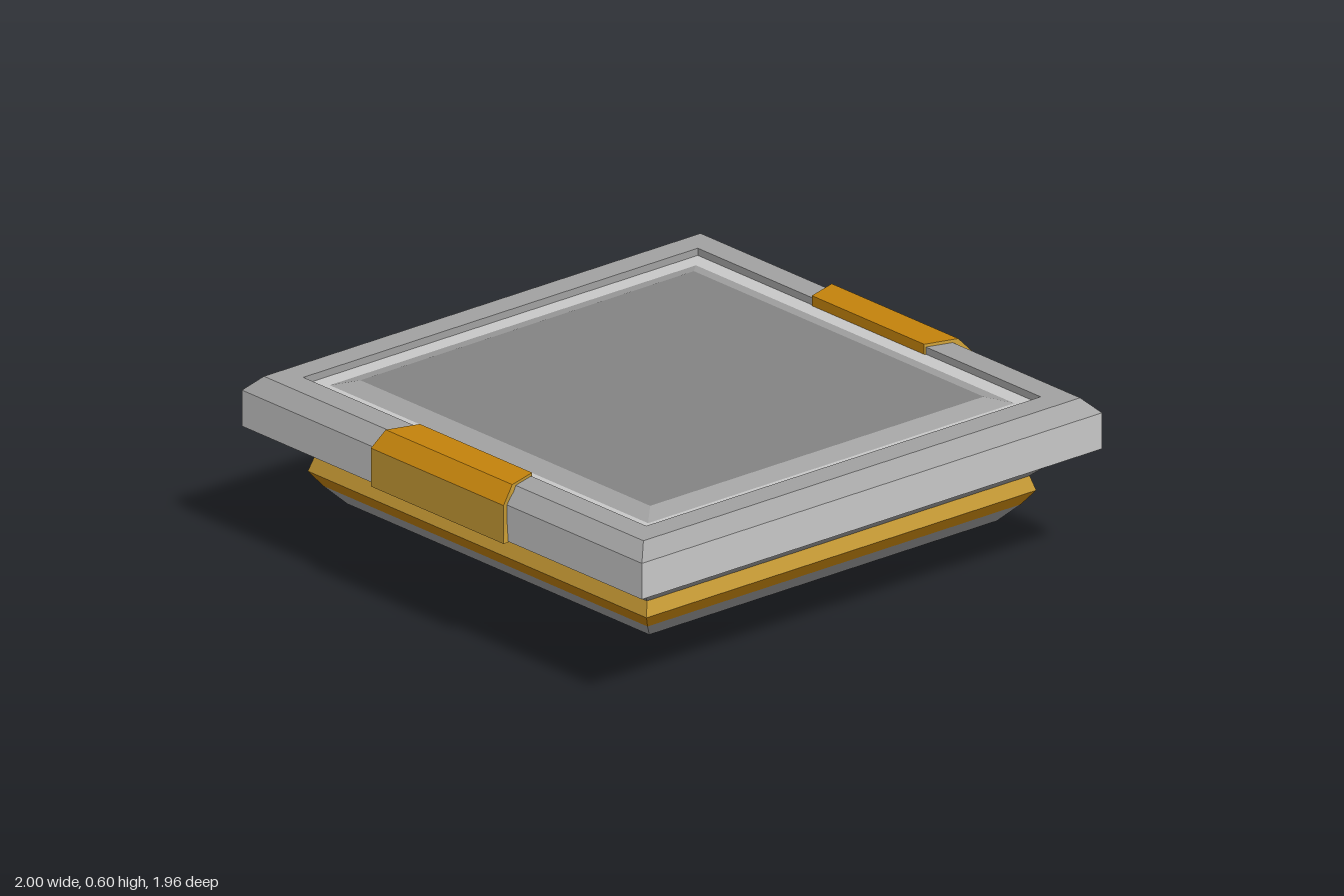
import * as THREE from 'three';

function mat(name, color, extra = {}) {
  const m = new THREE.MeshStandardMaterial({ color, ...extra });
  m.name = name;
  return m;
}

// Flat-shaded mesh from quads given as four counter-clockwise corners
function quadMesh(name, material, quads) {
  const pos = [];
  for (const [a, b, c, d] of quads) pos.push(...a, ...b, ...c, ...a, ...c, ...d);
  const g = new THREE.BufferGeometry();
  g.setAttribute('position', new THREE.Float32BufferAttribute(pos, 3));
  g.computeVertexNormals();
  const mesh = new THREE.Mesh(g, material);
  mesh.name = name;
  return mesh;
}

// Square loft through [halfWidth, y] rings, profile running bottom -> outside -> top
function squareLoft(name, material, rings) {
  const quads = [];
  const turn = (x, y, z, k) => [[x, y, z], [z, y, -x], [-x, y, -z], [-z, y, x]][k];
  for (let i = 0; i < rings.length - 1; i++) {
    const [ha, ya] = rings[i], [hb, yb] = rings[i + 1];
    for (let k = 0; k < 4; k++) {
      quads.push([turn(-ha, ya, ha, k), turn(ha, ya, ha, k), turn(hb, yb, hb, k), turn(-hb, yb, hb, k)]);
    }
  }
  return quadMesh(name, material, quads);
}

export function createModel() {
  const grey = mat('grey', 0xa2a2a2);
  const lightGrey = mat('light grey', 0xc8c8c8);
  const panelGrey = mat('panel grey', 0x848484);
  const gold = mat('gold', 0xc4830c);
  const lightGold = mat('light gold', 0xc99c35);

  const model = new THREE.Group();
  model.name = 'floatingPlatform';

  model.add(
    // Tapered foot
    squareLoft('footBottom', lightGold, [[0, 0], [0.39, 0]]),
    squareLoft('footSides', gold, [[0.39, 0], [0.48, 0.115]]),
    // Underside with a recessed groove
    squareLoft('undersideInner', grey, [[0.48, 0.115], [0.55, 0.115]]),
    squareLoft('undersideGroove', lightGrey, [[0.55, 0.115], [0.55, 0.145], [0.6, 0.145], [0.6, 0.115]]),
    squareLoft('lowerHull', grey, [[0.6, 0.115], [0.74, 0.155], [0.795, 0.215]]),
    // Gold belt
    squareLoft('beltLower', gold, [[0.795, 0.215], [0.83, 0.265]]),
    squareLoft('beltUpper', lightGold, [[0.83, 0.265], [0.815, 0.315]]),
    // Upper hull and rim
    squareLoft('upperHull', grey, [[0.815, 0.315], [0.925, 0.415], [0.98, 0.415]]),
    squareLoft('rimSides', lightGrey, [[0.98, 0.415], [0.98, 0.54]]),
    squareLoft('rimTop', grey, [[0.98, 0.54], [0.93, 0.59], [0.84, 0.59], [0.84, 0.565]]),
    // Groove and slightly raised deck
    squareLoft('deckGroove', lightGrey, [[0.84, 0.565], [0.78, 0.565]]),
    squareLoft('deckBevel', grey, [[0.78, 0.565], [0.71, 0.585]]),
    squareLoft('deckPanel', panelGrey, [[0.71, 0.585], [0, 0.585]]),
  );

  // Clasps over the left and right rim: [x, y, half length in z]
  const section = [[0.92, 0.412, 0.325], [1, 0.412, 0.325], [1, 0.545, 0.325],
    [0.95, 0.6, 0.31], [0.835, 0.6, 0.275], [0.835, 0.565, 0.275]];
  const strip = (i) => {
    const [ax, ay, az] = section[i], [bx, by, bz] = section[i + 1];
    return [[ax, ay, az], [ax, ay, -az], [bx, by, -bz], [bx, by, bz]];
  };
  const end = (s) => {
    const p = section.map(([x, y, z]) => [x, y, z * s]);
    const quads = [[p[0], p[1], p[2], p[3]], [p[0], p[3], p[4], p[5]]];
    return s > 0 ? quads : quads.map((q) => q.reverse());
  };
  for (const side of ['left', 'right']) {
    const clasp = new THREE.Group();
    clasp.name = side + 'Clasp';
    clasp.add(
      quadMesh('claspFace', lightGold, [strip(1)]),
      quadMesh('claspTop', gold, [strip(0), strip(2), strip(3), strip(4)]),
      quadMesh('claspEnds', lightGold, [...end(1), ...end(-1)]),
    );
    if (side === 'right') clasp.rotation.y = Math.PI;
    model.add(clasp);
  }
  return model;
}
